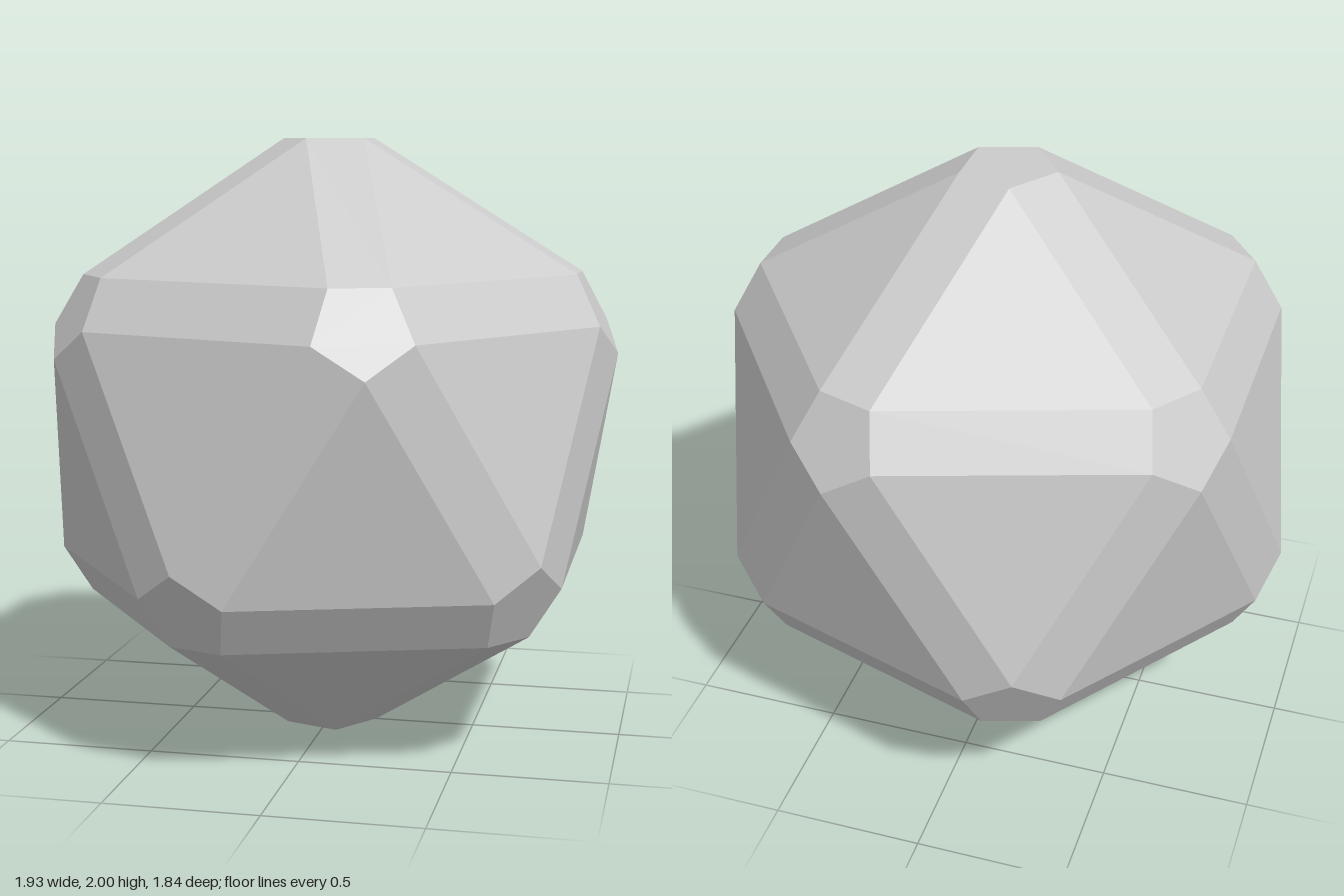
import * as THREE from 'three';
import { ConvexGeometry } from 'three/addons/geometries/ConvexGeometry.js';

const CORNER_RADIUS = 0.162; // size of the small pentagon cut at each tip

// The twelve unit tips of an icosahedron standing on one tip
function icosahedronTips() {
  const tips = [new THREE.Vector3(0, 1, 0), new THREE.Vector3(0, -1, 0)];
  const h = 1 / Math.sqrt(5);
  for (let i = 0; i < 5; i++) {
    const a = (i * 2 * Math.PI) / 5;
    const upper = new THREE.Vector3(2 * h * Math.cos(a), h, 2 * h * Math.sin(a));
    tips.push(upper, upper.clone().negate());
  }
  return tips;
}

export function createModel() {
  const group = new THREE.Group();
  group.name = 'bevelledIcosahedron';

  // Replace each tip by a pentagon whose flat sides face the neighbouring tips
  const tips = icosahedronTips();
  const corners = [];
  for (const tip of tips) {
    for (const other of tips) {
      const d = tip.distanceTo(other);
      if (d < 0.01 || d > 1.2) continue;
      const along = other.clone().addScaledVector(tip, -tip.dot(other)).normalize();
      corners.push(tip.clone().addScaledVector(along, -CORNER_RADIUS));
    }
  }

  // The hull gives the 20 triangles, 30 bevelled edges and 12 pentagons
  const geometry = new ConvexGeometry(corners);
  geometry.translate(0, 1, 0);
  const material = new THREE.MeshStandardMaterial({ color: 0xcccccc, flatShading: true });
  const body = new THREE.Mesh(geometry, material);
  body.name = 'facetedBody';
  group.add(body);
  return group;
}
